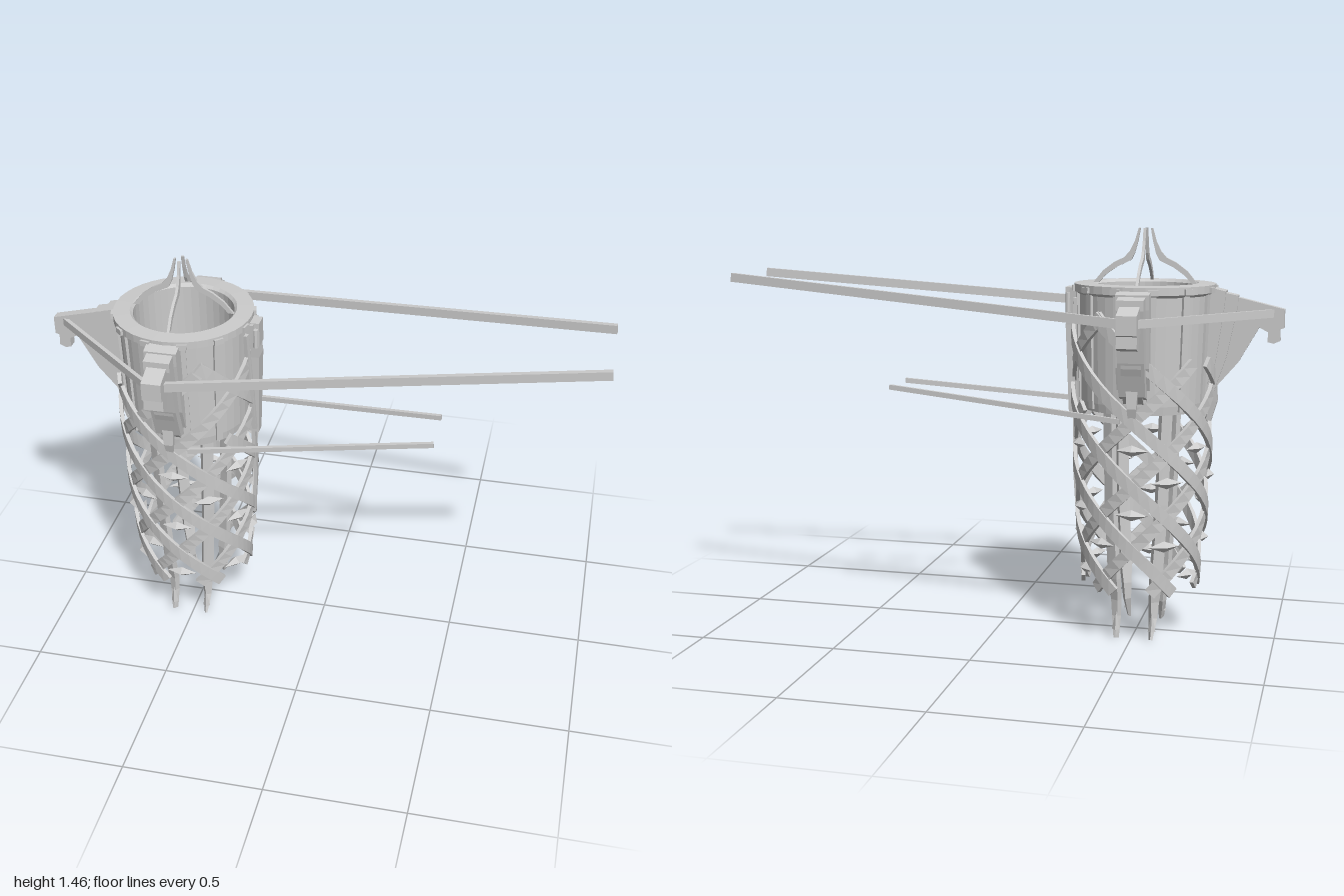
import * as THREE from 'three';

const material = new THREE.MeshStandardMaterial({ color: 0xcccccc, flatShading: true, side: THREE.DoubleSide });
const V = (x, y, z) => new THREE.Vector3(x, y, z);
const polar = (a, r, y) => V(r * Math.cos(a), y, r * Math.sin(a));

export function createModel() {
  const model = new THREE.Group();
  const tower = new THREE.Group();
  tower.name = 'tower';
  tower.position.x = -0.51;
  model.add(tower);

  function add(name, geometry, parent = tower) {
    const mesh = new THREE.Mesh(geometry, material);
    mesh.name = name;
    parent.add(mesh);
    return mesh;
  }

  // Rectangular section swept through points, lying flat against the tower axis
  function sweep(points, width, thick) {
    const pos = [], index = [];
    const last = points.length - 1;
    points.forEach((p, i) => {
      const t = points[Math.min(i + 1, last)].clone().sub(points[Math.max(i - 1, 0)]).normalize();
      const n = V(p.x, 0, p.z);
      n.addScaledVector(t, -n.dot(t)).normalize();
      const s = n.clone().cross(t);
      const w = (typeof width === 'function' ? width(i / last) : width) / 2;
      for (const [a, b] of [[-1, -1], [1, -1], [1, 1], [-1, 1]])
        pos.push(...p.clone().addScaledVector(s, a * w).addScaledVector(n, b * thick / 2).toArray());
      if (i < last) for (let j = 0; j < 4; j++) {
        const a = i * 4 + j, b = i * 4 + (j + 1) % 4;
        index.push(a, b, b + 4, a, b + 4, a + 4);
      }
    });
    const e = last * 4;
    index.push(0, 2, 1, 0, 3, 2, e, e + 1, e + 2, e, e + 2, e + 3);
    const g = new THREE.BufferGeometry();
    g.setAttribute('position', new THREE.Float32BufferAttribute(pos, 3));
    g.setIndex(index);
    g.computeVertexNormals();
    return g;
  }

  // Flat plate with a radius/height outline, standing out radially at an angle
  function plate(name, outline, width, angle) {
    const shape = new THREE.Shape(outline.map(p => new THREE.Vector2(...p)));
    const g = new THREE.ExtrudeGeometry(shape, { depth: width, bevelEnabled: false });
    g.translate(0, 0, -width / 2).rotateY(-angle);
    return add(name, g);
  }

  function bar(name, from, to, height, width) {
    const mesh = add(name, new THREE.BoxGeometry(width, height, from.distanceTo(to)), model);
    mesh.position.copy(from).add(to).multiplyScalar(0.5);
    mesh.lookAt(to);
  }

  // Hollow drum with a flat rim
  const drum = [[0.18, 0.83], [0.218, 0.83], [0.222, 0.86], [0.232, 1.235], [0.25, 1.245],
    [0.25, 1.272], [0.19, 1.275], [0.18, 1.265], [0.18, 0.83]];
  add('drum', new THREE.LatheGeometry(drum.map(p => new THREE.Vector2(...p)), 40));
  for (let i = 0; i < 12; i++) {
    const a = (i + 0.5) * Math.PI / 6;
    add('drumStave', sweep([polar(a, 0.222, 0.84), polar(a, 0.236, 1.24)], 0.025, 0.012));
    const bolt = add('rimBolt', new THREE.BoxGeometry(0.014, 0.02, 0.035));
    bolt.position.copy(polar(a, 0.251, 1.255));
    bolt.rotation.y = -a;
  }

  // Two floor leaves with a slot between them
  for (const side of [-1, 1]) {
    const gap = side < 0 ? -0.035 : 0.02;
    const a0 = Math.acos(gap / 0.2);
    const shape = new THREE.Shape();
    if (side > 0) shape.absarc(0, 0, 0.2, -a0, a0, false);
    else shape.absarc(0, 0, 0.2, a0, 2 * Math.PI - a0, false);
    const g = new THREE.ExtrudeGeometry(shape, { depth: 0.015, bevelEnabled: false, curveSegments: 16 });
    add('floorLeaf', g.rotateX(-Math.PI / 2).translate(0, 0.832, 0));
  }

  // Lattice of crossing helical strips, higher on the two sides
  const turn = Math.PI / 3 / 0.23;
  const latticeRadius = y => y < 0.7
    ? 0.203 + 0.037 * Math.sin((y - 0.18) / 0.52 * Math.PI / 2)
    : 0.24 + 0.01 * Math.min(1, (y - 0.7) / 0.2);
  for (const dir of [-1, 1]) for (let i = 0; i < 6; i++) {
    const angleAt = y => i * Math.PI / 3 + dir * turn * (y - 0.235);
    let top = 0.85;
    if (Math.cos(angleAt(1.17)) > 0.35) top = 1.17;
    else if (Math.cos(angleAt(1.0)) < -0.2) top = 1.01;
    const points = [];
    for (let j = 0; j <= 28; j++) {
      const y = 0.19 + (top - 0.19) * j / 28;
      points.push(polar(angleAt(y), latticeRadius(y) + dir * 0.003, y));
    }
    add('latticeStrip', sweep(points, 0.042, 0.014));
  }

  // Pointed studs in some of the lattice openings
  for (let row = 0; row < 5; row++) for (let i = 0; i < 6; i++) {
    const y = 0.25 + row * 0.115;
    const a = (i + (row % 2 ? 0 : 0.5)) * Math.PI / 3;
    if ((i * 2 + row) % 5 === 3) continue;
    const g = new THREE.OctahedronGeometry(1).scale(0.022, 0.02, 0.058);
    const stud = add('latticeStud', g);
    stud.position.copy(polar(a, latticeRadius(y), y));
    stud.rotation.y = -a;
  }

  // Four long legs ending in claws
  for (const sx of [-1, 1]) for (const sz of [-1, 1]) {
    const path = [[0.1, 0.84, 0.125], [0.09, 0.5, 0.125], [0.075, 0.22, 0.122], [0.068, 0.14, 0.112],
      [0.066, 0.08, 0.115], [0.064, 0.04, 0.13], [0.062, 0.005, 0.142]];
    add('leg', sweep(path.map(p => V(sx * p[0], p[1], sz * p[2])),
      t => t < 0.4 ? 0.042 : 0.055 - 0.047 * t, 0.022));
    add('clawSpur', new THREE.ConeGeometry(0.014, 0.07, 4))
      .position.set(sx * 0.065, 0.07, sz * 0.135);
  }

  // Curved horns over the rim
  const horn = [[0.185, 1.272], [0.15, 1.315], [0.11, 1.345], [0.075, 1.362], [0.055, 1.385], [0.038, 1.42],
    [0.025, 1.465], [0.018, 1.465], [0.026, 1.42], [0.038, 1.375], [0.05, 1.352], [0.1, 1.328], [0.14, 1.3], [0.165, 1.272]];
  for (let i = 0; i < 4; i++) plate('horn', horn, 0.01, i * Math.PI / 2);

  // Three stepped brackets; the rear one reaches further out and is thinner
  for (const [angle, extra, tip, base] of [[Math.PI / 2, 0, 0.07, 0.115], [-Math.PI / 2, 0, 0.07, 0.115], [Math.PI, 0.09, 0.036, 0.08]]) {
    plate('bracketArm', [[0.22, 1.25], [0.3 + extra / 2, 1.225], [0.4 + extra, 1.19], [0.4 + extra, 1.125],
      [0.385 + extra, 1.12], [0.388 + extra, 1.08], [0.365 + extra, 1.07], [0.345 + extra, 1.075],
      [0.345 + extra, 1.11], [0.315 + extra, 1.125], [0.29 + extra / 2, 1.0], [0.25, 0.9], [0.22, 0.87]], tip, angle);
    plate('bracketStep', [[0.2, 1.262], [0.33, 1.235], [0.33, 1.2], [0.295, 1.02], [0.255, 0.9], [0.2, 0.88]],
      (tip + base) / 2, angle);
    plate('bracketBase', [[0.2, 1.27], [0.288, 1.25], [0.285, 1.2], [0.258, 1.0], [0.23, 0.92], [0.2, 0.92]], base, angle);
    add('bracketTail', sweep([polar(angle, 0.25, 0.95), polar(angle, 0.255, 0.86), polar(angle, 0.235, 0.79)],
      t => 0.045 - 0.025 * t, 0.02));
  }

  // Tapering column on the open side, with a hanging spear and latch
  add('column', sweep([polar(0, 0.245, 1.25), polar(0, 0.262, 1.12), polar(0, 0.25, 0.8)], t => 0.085 - 0.045 * t, 0.035));
  add('spear', sweep([polar(0, 0.245, 0.82), polar(0, 0.246, 0.6), polar(0, 0.235, 0.42)], t => 0.036 - 0.032 * t, 0.014));
  add('latch', new THREE.BoxGeometry(0.05, 0.09, 0.055)).position.set(0.257, 1.21, 0);
  for (const s of [-1, 1]) {
    add('latchPin', new THREE.CylinderGeometry(0.01, 0.01, 0.07, 8)).position.set(0.27, 1.2, s * 0.035);
    add('columnBrace', sweep([polar(s * 0.22, 0.245, 1.22), polar(s * 0.1, 0.256, 0.82)], 0.018, 0.016));
  }

  // Long rods, lower rods and the tie bars behind them
  for (const s of [-1, 1]) {
    bar('longRod', V(-0.54, 1.155, s * 0.365), V(1, 1.277, s * 0.16), 0.032, 0.018);
    bar('lowerRod', V(-0.46, 0.805, s * 0.205), V(0.415, 0.88, s * 0.093), 0.018, 0.014);
    bar('tieBar', V(-0.96, 1.175, s * 0.012), V(-0.535, 1.16, s * 0.365), 0.028, 0.015);
  }
  return model;
}
